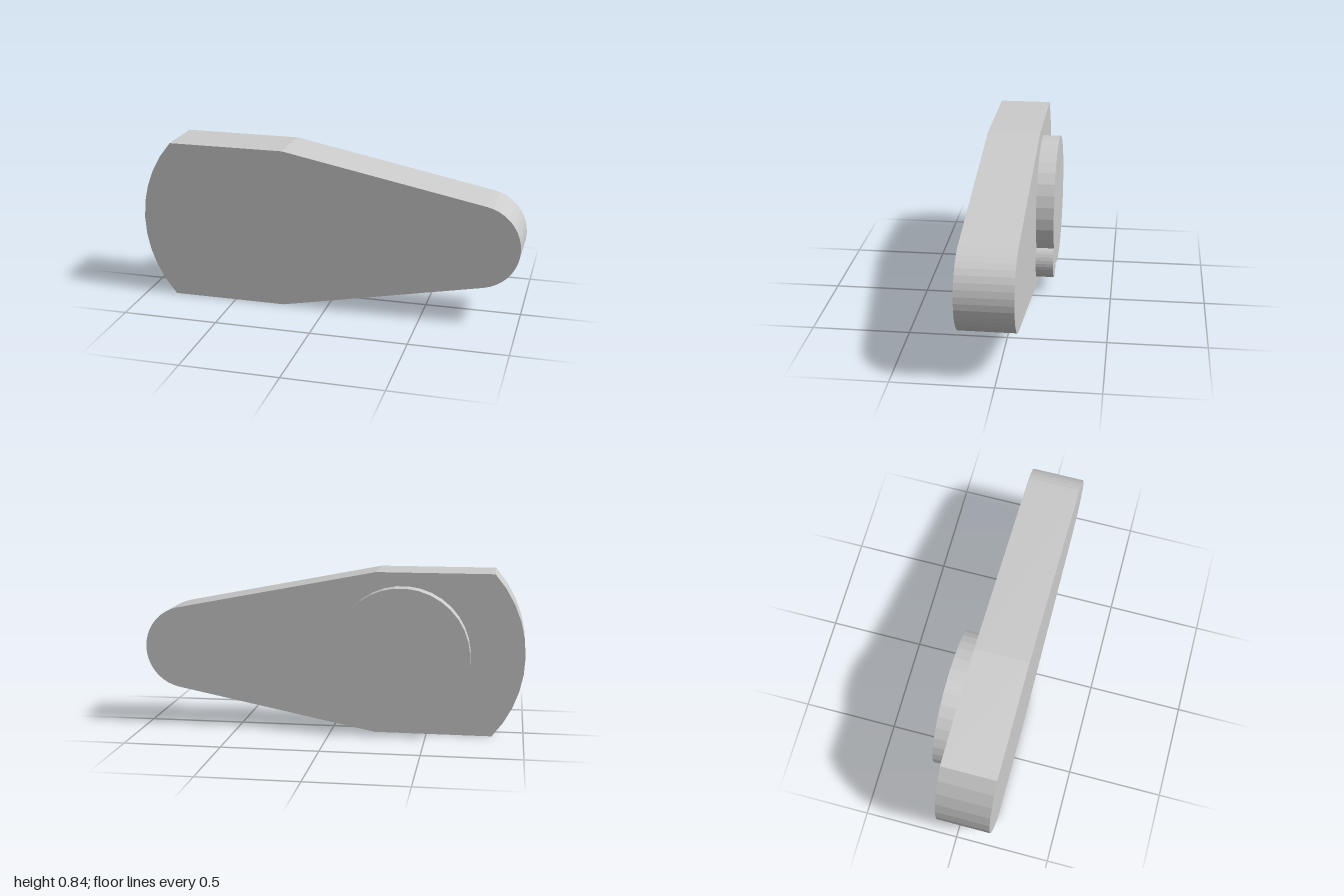
import * as THREE from 'three';

// Points along a circular arc, from angle a to angle b
function arc(cx, cy, r, a, b, segments) {
  return Array.from({ length: segments + 1 }, (_, i) => {
    const t = a + ((b - a) * i) / segments;
    return new THREE.Vector2(cx + r * Math.cos(t), cy + r * Math.sin(t));
  });
}

// Flat plate with the given outline, between two z positions
function plate(name, points, zBack, zFront) {
  const geometry = new THREE.ExtrudeGeometry(new THREE.Shape(points), {
    depth: zFront - zBack, bevelEnabled: false,
  });
  geometry.translate(0, 0, zBack);
  const mesh = new THREE.Mesh(geometry, new THREE.MeshStandardMaterial({ color: 0xcccccc }));
  mesh.name = name;
  return mesh;
}

export function createModel() {
  const group = new THREE.Group();
  group.name = 'taperedArm';
  const midY = 0.422, hubX = -0.37, backZ = -0.093;

  // Arm: wide end curved about the hub, straight shoulders, taper to a round tip
  const tipR = 0.219, tilt = Math.atan(0.2), endR = 0.63;
  const endAngle = Math.asin(midY / endR);
  const armOutline = [
    ...arc(1 - tipR, midY, tipR, tilt - Math.PI / 2, Math.PI / 2 - tilt, 18),
    new THREE.Vector2(-0.23, 2 * midY),
    ...arc(hubX, midY, endR, Math.PI - endAngle, Math.PI + endAngle, 10),
    new THREE.Vector2(-0.23, 0),
  ];
  group.add(plate('arm', armOutline, backZ, 0.187));

  // Hub on the back: large disc joined by a small lobe on its lower diagonal
  const hubR = 0.353, lobeR = 0.104, diagonal = -Math.PI / 4;
  const half = 2 * Math.asin(lobeR / (2 * hubR));
  const lobeHalf = Math.PI / 2 + half / 2;
  const lobeX = hubX + hubR * Math.cos(diagonal);
  const lobeY = midY + hubR * Math.sin(diagonal);
  const hubOutline = [
    ...arc(hubX, midY, hubR, diagonal + half, diagonal + 2 * Math.PI - half, 32),
    ...arc(lobeX, lobeY, lobeR, diagonal - lobeHalf, diagonal + lobeHalf, 20).slice(1, -1),
  ];
  group.add(plate('hub', hubOutline, -0.187, backZ));

  return group;
}
